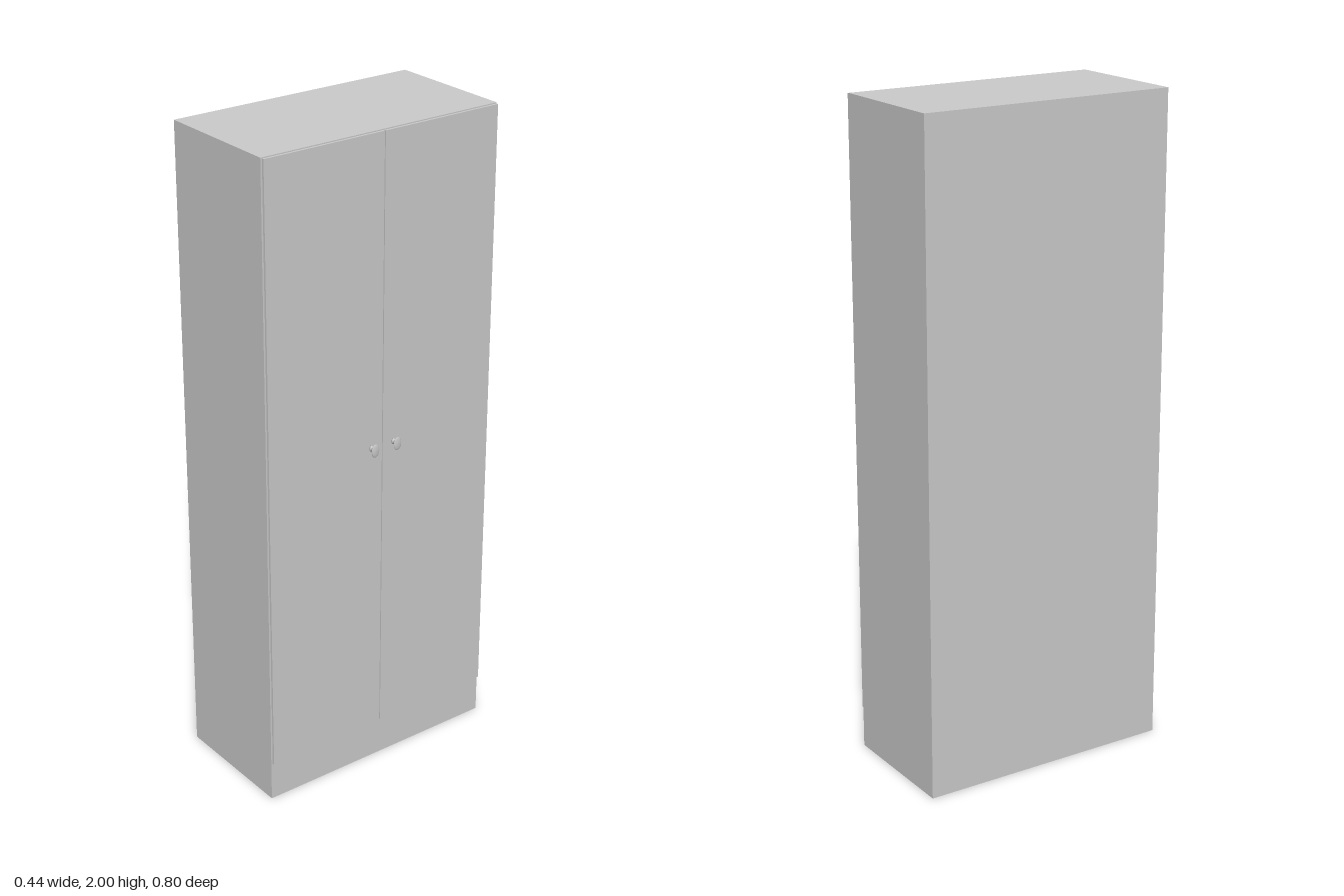
import * as THREE from 'three';

const material = new THREE.MeshStandardMaterial({ color: 0xcccccc });

function box(name, [x0, x1], [y0, y1], [z0, z1]) {
  const mesh = new THREE.Mesh(new THREE.BoxGeometry(x1 - x0, y1 - y0, z1 - z0), material);
  mesh.position.set((x0 + x1) / 2, (y0 + y1) / 2, (z0 + z1) / 2);
  mesh.name = name;
  return mesh;
}

// Flared knob, turned about its axis and stretched into an oval
function makeKnob(name) {
  const profile = [
    [0, 0], [0.0065, 0], [0.006, 0.002], [0.0042, 0.006], [0.0045, 0.008],
    [0.008, 0.013], [0.0125, 0.018], [0.0135, 0.0195], [0.0125, 0.021],
    [0.008, 0.0222], [0, 0.0228],
  ].map(([r, h]) => new THREE.Vector2(r, h));
  const geometry = new THREE.LatheGeometry(profile, 24);
  geometry.rotateZ(-Math.PI / 2); // axis points out of the door, +x
  geometry.scale(1, 1.55, 1);
  const knob = new THREE.Mesh(geometry, material);
  knob.name = name;
  return knob;
}

export function createModel() {
  const cabinet = new THREE.Group();
  cabinet.name = 'cabinet';

  // Carcass, with the doors on its +x side
  cabinet.add(box('carcass', [-0.22, 0.185], [0, 2], [-0.4, 0.4]));

  // Pair of doors standing just off the carcass, each with a knob
  for (const side of [1, -1]) {
    const label = side > 0 ? 'left' : 'right';
    const zRange = [side * 0.0015, side * 0.397].sort((a, b) => a - b);
    cabinet.add(box(label + 'Door', [0.188, 0.195], [0.125, 1.998], zRange));

    const knob = makeKnob(label + 'Knob');
    knob.position.set(0.195, 1.065, side * 0.04);
    cabinet.add(knob);
  }
  return cabinet;
}
